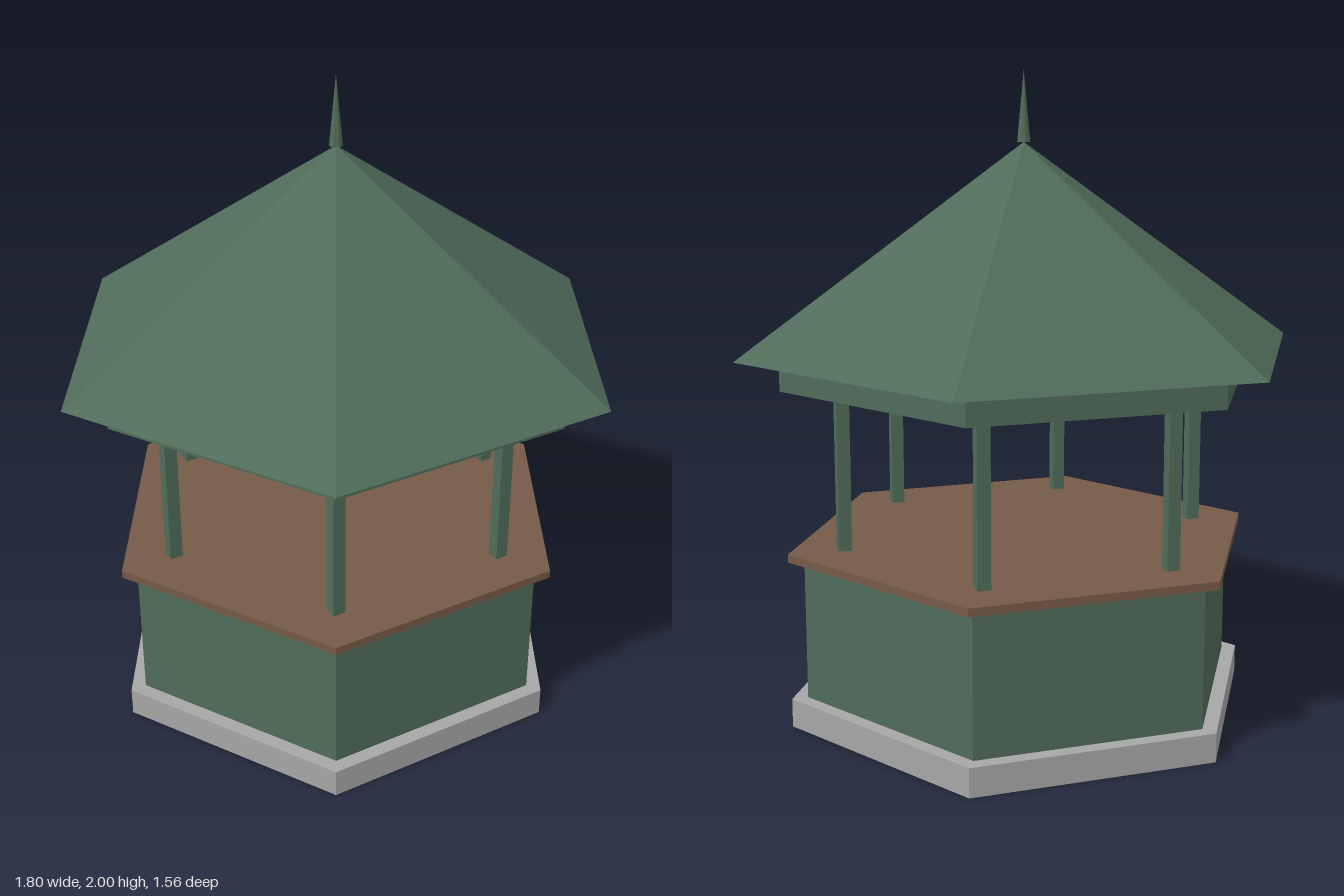
import * as THREE from 'three';

const material = (name, color, side = THREE.FrontSide) => {
  const m = new THREE.MeshStandardMaterial({ color, flatShading: true, side });
  m.name = name;
  return m;
};

export function createModel() {
  const green = material('muted green', 0x506c5a, THREE.DoubleSide);
  const brown = material('counter brown', 0x765a48);
  const grey = material('stone grey', 0xa6a6a6, THREE.DoubleSide);
  const model = new THREE.Group();
  model.name = 'kiosk';

  const add = (name, geometry, mat, x = 0, y = 0, z = 0, parent = model) => {
    const mesh = new THREE.Mesh(geometry, mat);
    mesh.name = name;
    mesh.position.set(x, y, z);
    parent.add(mesh);
    return mesh;
  };

  // Six-sided ring between two heights, with corners on the x axis
  const hexagon = (name, mat, rTop, rBottom, y0, y1, open = false) => {
    const geometry = new THREE.CylinderGeometry(rTop, rBottom, y1 - y0, 6, 1, open);
    geometry.rotateY(Math.PI / 2);
    return add(name, geometry, mat, 0, (y0 + y1) / 2, 0);
  };

  // Flat six-sided plate closing the top of a ring
  const plate = (name, mat, r, y) => {
    const geometry = new THREE.CircleGeometry(r, 6);
    geometry.rotateX(-Math.PI / 2);
    return add(name, geometry, mat, 0, y, 0);
  };

  // Plinth, hollow underneath
  hexagon('plinth', grey, 0.755, 0.755, 0, 0.09, true);
  plate('plinthTop', grey, 0.755, 0.09);

  // Lower walls and counter
  hexagon('walls', green, 0.705, 0.705, 0.09, 0.53, true);
  hexagon('counter', brown, 0.755, 0.755, 0.53, 0.555);

  // Posts, one towards each corner
  const posts = new THREE.Group();
  posts.name = 'posts';
  model.add(posts);
  const postGeometry = new THREE.BoxGeometry(0.04, 0.505, 0.04);
  for (let i = 0; i < 6; i++) {
    const a = (i * Math.PI) / 3;
    add('post', postGeometry, green, 0.58 * Math.cos(a), 0.8075, 0.58 * Math.sin(a), posts);
  }

  // Fascia with a ceiling, below the open-bottomed roof
  hexagon('fascia', green, 0.765, 0.765, 1.06, 1.155, true);
  plate('ceiling', green, 0.765, 1.154);
  hexagon('roof', green, 0, 0.9, 1.155, 1.785, true);

  // Finial
  add('finial', new THREE.ConeGeometry(0.021, 0.215, 8), green, 0, 1.8925, 0);

  return model;
}
